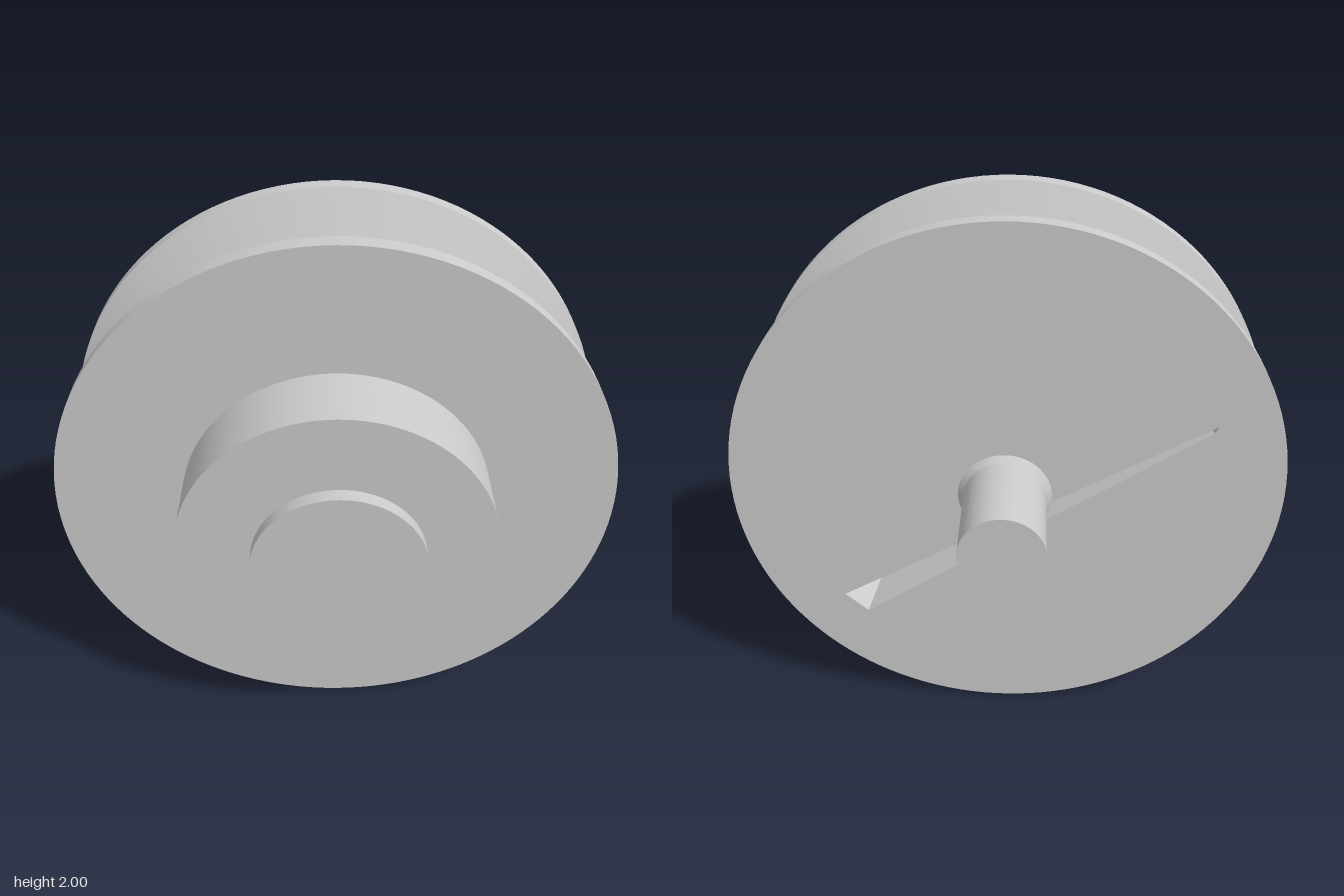
import * as THREE from 'three';
import { toCreasedNormals } from 'three/addons/utils/BufferGeometryUtils.js';

const grey = new THREE.MeshStandardMaterial({ color: 0xcccccc });
const greyThin = new THREE.MeshStandardMaterial({ color: 0xcccccc, side: THREE.DoubleSide });

// Turned part: profile is a list of [radius, z], running from back to front
function turned(name, profile, x = 0, y = 1) {
  const points = profile.map(([r, z]) => new THREE.Vector2(r, z));
  const geometry = new THREE.LatheGeometry(points, 128).rotateX(Math.PI / 2);
  const mesh = new THREE.Mesh(toCreasedNormals(geometry, 0.35), grey);
  mesh.name = name;
  mesh.position.set(x, y, 0);
  return mesh;
}

export function createModel() {
  const group = new THREE.Group();
  group.name = 'grooved pulley';
  const backZ = -0.24, floorZ = 0.03;

  // Wheel with V groove, open at the back where the slotted face closes it
  group.add(turned('grooved wheel', [
    [1, backZ], [1, -0.18], [0.737, -0.055], [0.737, 0.095],
    [1, 0.215], [1, 0.28], [0, 0.28],
  ]));

  // Front hub
  group.add(turned('front hub', [[0.55, 0.27], [0.55, 0.545], [0, 0.545]]));

  // End cap on a narrow neck, on the slightly offset shaft axis
  group.add(turned('end cap', [
    [0.227, 0.54], [0.227, 0.556], [0.3, 0.556], [0.3, 0.608], [0, 0.608],
  ], 0.005, 0.985));

  // Rear shaft with a flared foot, running down to the slot floor
  group.add(turned('rear shaft', [
    [0, -0.608], [0.15, -0.608], [0.15, -0.26], [0.17, backZ], [0.15, backZ], [0.15, floorZ],
  ], 0.005, 0.985));

  // Tapering slot outline in the back face, and its narrower floor outline
  const rim = [[0.625, -0.485], [0.54, -0.565], [-0.725, 0.255], [-0.735, 0.28]];
  const floor = rim.map(([x, y]) => [x * 0.915, y * 0.915]);

  // Back face (drawn mirrored, then turned to face the rear)
  const face = new THREE.Shape().absarc(0, 0, 1, 0, Math.PI * 2);
  face.holes.push(new THREE.Path(rim.map(([x, y]) => new THREE.Vector2(-x, y))));
  const backFace = new THREE.Mesh(new THREE.ShapeGeometry(face, 64).rotateY(Math.PI), grey);
  backFace.name = 'slotted back face';
  backFace.position.set(0, 1, backZ);
  group.add(backFace);

  // Slot walls and floor
  const vertices = [];
  const quad = (a, b, c, d) => vertices.push(...a, ...b, ...c, ...a, ...c, ...d);
  const top = rim.map(([x, y]) => [x, y, backZ]);
  const low = floor.map(([x, y]) => [x, y, floorZ]);
  for (let i = 0; i < 4; i++) {
    const j = (i + 1) % 4;
    quad(top[i], top[j], low[j], low[i]);
  }
  quad(low[0], low[1], low[2], low[3]);
  const slotGeometry = new THREE.BufferGeometry();
  slotGeometry.setAttribute('position', new THREE.Float32BufferAttribute(vertices, 3));
  slotGeometry.computeVertexNormals();
  const slot = new THREE.Mesh(slotGeometry, greyThin);
  slot.name = 'slot recess';
  slot.position.y = 1;
  group.add(slot);

  return group;
}
